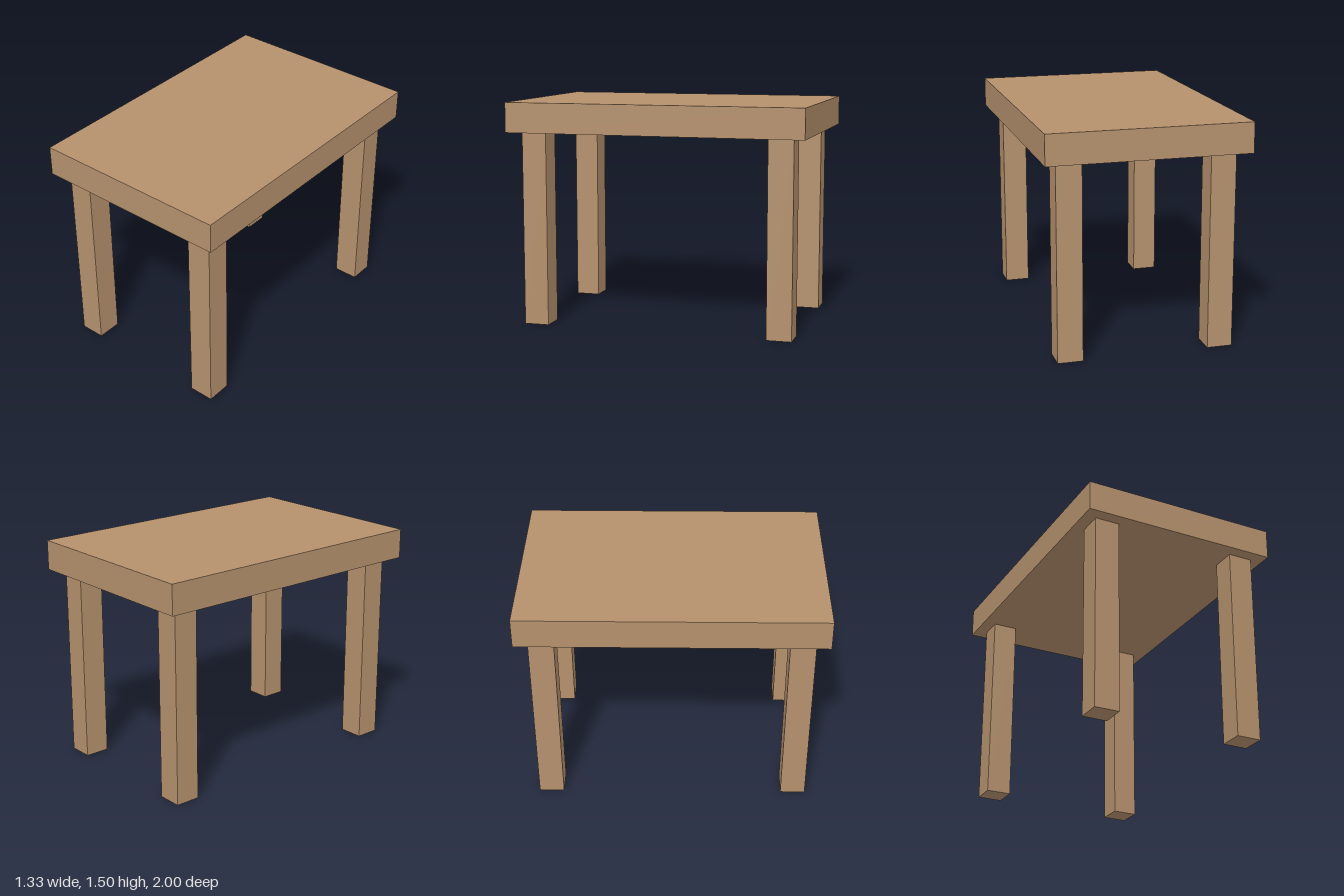
import * as THREE from 'three';

export function createModel() {
  const group = new THREE.Group();
  const wood = new THREE.MeshStandardMaterial({ color: 0xb5916d });

  const addBox = (name, [w, h, d], [x, y, z]) => {
    const mesh = new THREE.Mesh(new THREE.BoxGeometry(w, h, d), wood);
    mesh.name = name;
    mesh.position.set(x, y, z);
    group.add(mesh);
  };

  // Thick slab top
  const topY = 1.302, height = 1.502;
  addBox('tableTop', [1.333, height - topY, 2], [0, (topY + height) / 2, 0]);

  // Four square legs, set in from the edges
  const leg = 0.167;
  for (const [side, x] of [['Left', 0.5], ['Right', -0.5]]) {
    for (const [end, z] of [['front', 0.833], ['back', -0.833]]) {
      addBox(`${end}${side}Leg`, [leg, topY, leg], [x, topY / 2, z]);
    }
  }
  return group;
}
